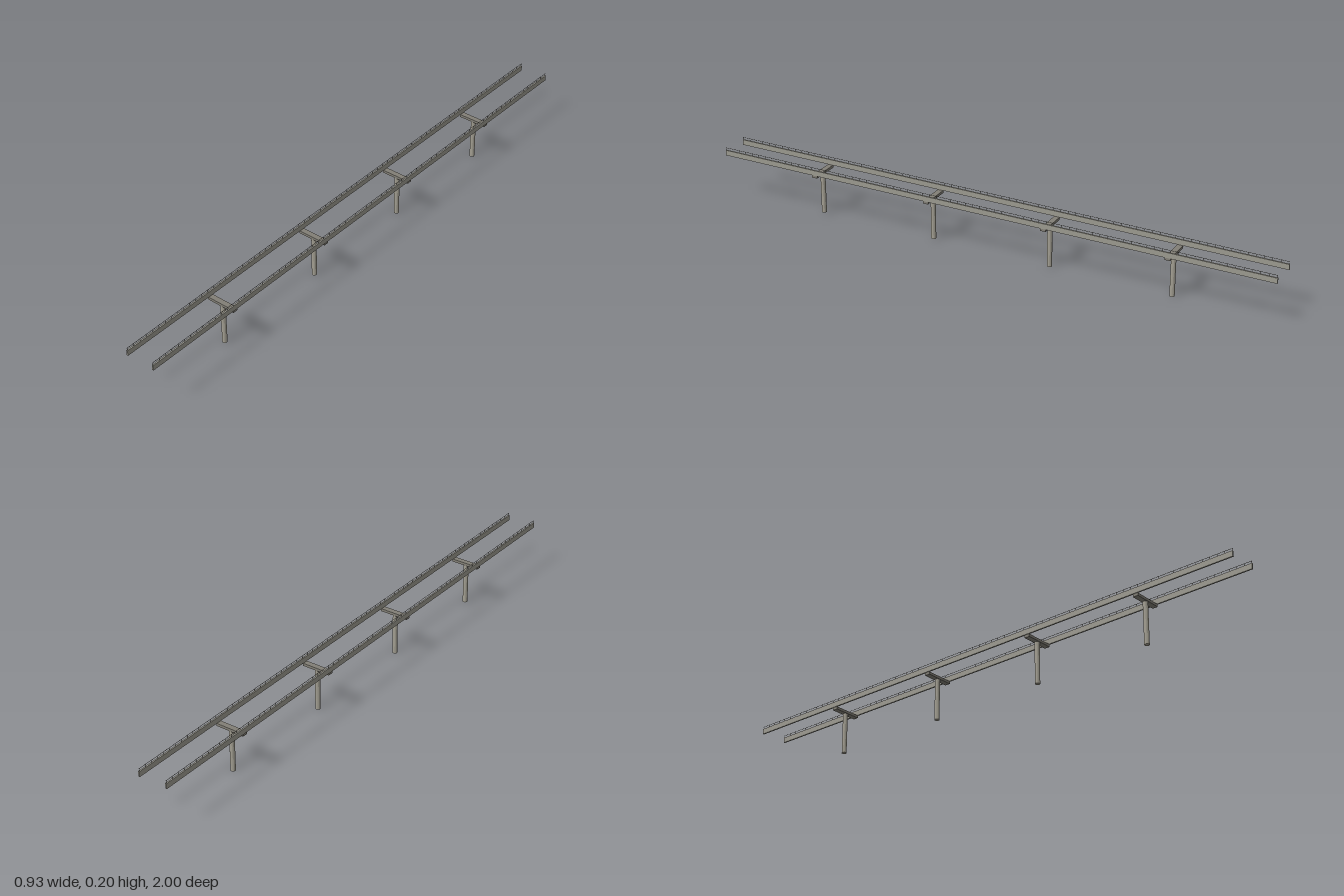
import * as THREE from 'three';

export function createModel() {
  const model = new THREE.Group();
  model.name = 'elevatedTrack';
  const paint = (color) => new THREE.MeshStandardMaterial({ color, flatShading: true });
  const concrete = paint(0xa39f92), girderGrey = paint(0x9c9a90);
  const beamGrey = paint(0x827f76), railGrey = paint(0x66645e);
  const length = 2.121, gap = 0.109, slope = 0.0047;

  const add = (parent, name, geometry, material, x, y, z) => {
    const mesh = new THREE.Mesh(geometry, material);
    mesh.name = name;
    mesh.position.set(x, y, z);
    parent.add(mesh);
  };

  // the track runs diagonally across the ground plan
  const track = new THREE.Group();
  track.name = 'track';
  track.rotation.y = -Math.atan2(0.82, 1.954);
  model.add(track);

  // gently sloping superstructure
  const deck = new THREE.Group();
  deck.name = 'deck';
  deck.position.y = 0.178;
  deck.rotation.x = -slope;
  track.add(deck);

  const girderGeo = new THREE.BoxGeometry(0.0055, 0.02, length);
  const railGeo = new THREE.BoxGeometry(0.001, 0.001, length);
  const postGeo = new THREE.BoxGeometry(0.001, 0.009, 0.001);
  const posts = 76;
  for (const side of [-1, 1]) {
    const x = side * gap / 2;
    add(deck, 'girder', girderGeo, girderGrey, x, 0, 0);

    // slender railing on the girder
    add(deck, 'handrail', railGeo, railGrey, x, 0.019, 0);
    for (let i = 0; i < posts; i++) {
      const z = (i / (posts - 1) - 0.5) * (length - 0.004);
      add(deck, 'railingPost', postGeo, railGrey, x, 0.0145, z);
    }
  }

  // four piers, each a crossbeam on a round column
  const beamGeo = new THREE.BoxGeometry(0.109, 0.01, 0.02);
  const columnGeo = new THREE.CylinderGeometry(0.009, 0.009, 0.156, 12);
  for (let i = 0; i < 4; i++) {
    const z = (i - 1.5) * 0.454;
    add(deck, 'crossbeam', beamGeo, beamGrey, 0, -0.015, z);
    add(track, 'column', columnGeo, concrete, 0, 0.0812 + z * slope, z);
  }
  return model;
}
